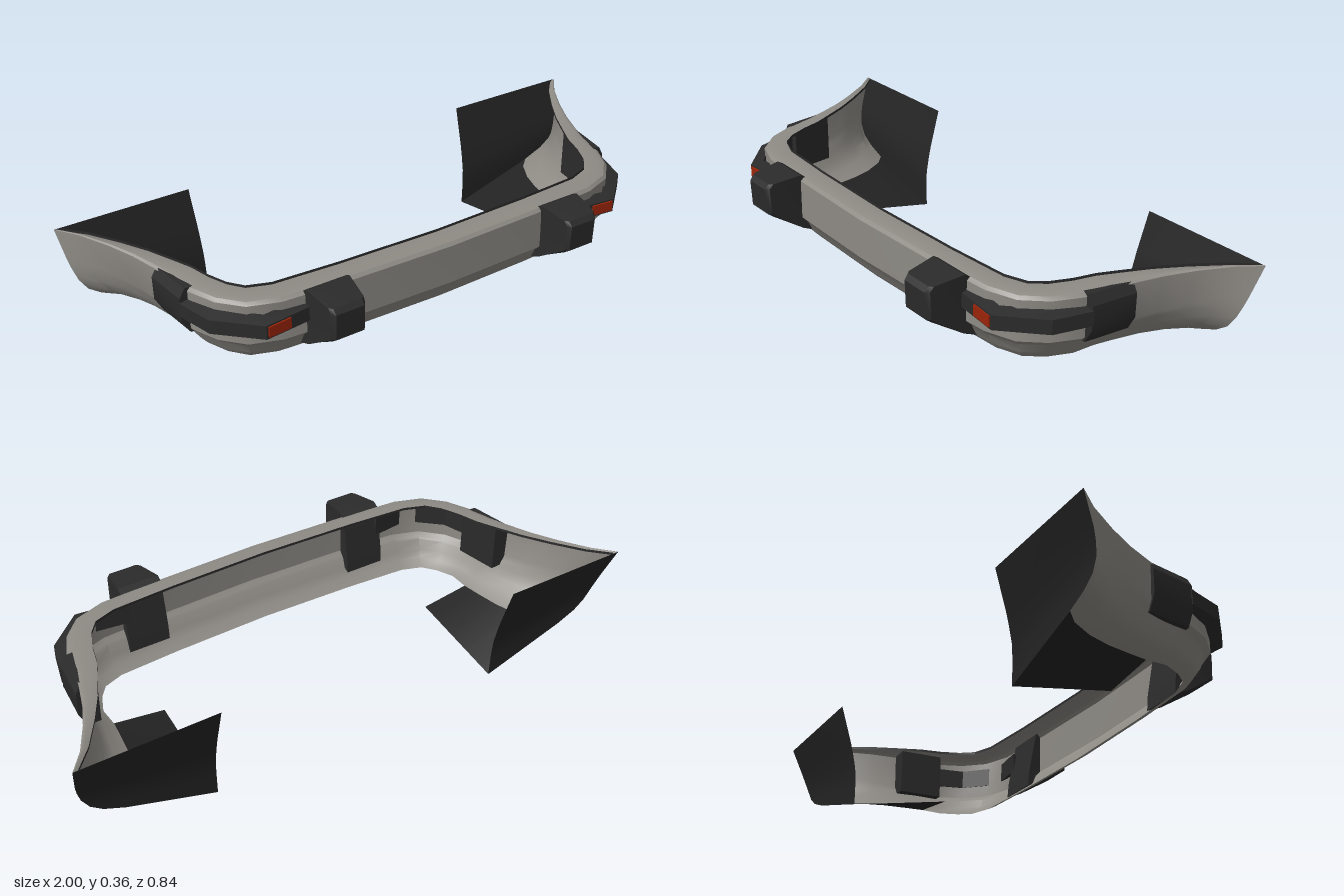
import * as THREE from 'three';
import { toCreasedNormals } from 'three/addons/utils/BufferGeometryUtils.js';

const material = (name, color) => {
  const m = new THREE.MeshStandardMaterial({ color, side: THREE.DoubleSide });
  m.name = name;
  return m;
};

// Skin a list of rows of [x, y, z] points; closed rows become capped solids
function loft(rows, closed = false, crease = 0.5) {
  const out = [];
  const n = rows[0].length;
  const last = closed ? n : n - 1;
  for (let i = 0; i < rows.length - 1; i++) {
    for (let j = 0; j < last; j++) {
      const k = (j + 1) % n;
      const a = rows[i][j], b = rows[i + 1][j], c = rows[i + 1][k], d = rows[i][k];
      out.push(...a, ...b, ...c, ...a, ...c, ...d);
    }
  }
  if (closed) {
    [rows[0], rows[rows.length - 1]].forEach((row, end) => {
      const mid = [0, 1, 2].map((q) => row.reduce((s, p) => s + p[q], 0) / n);
      for (let j = 0; j < n; j++) {
        const p = row[j], q = row[(j + 1) % n];
        out.push(...mid, ...(end ? q : p), ...(end ? p : q));
      }
    });
  }
  const g = new THREE.BufferGeometry();
  g.setAttribute('position', new THREE.Float32BufferAttribute(out, 3));
  return toCreasedNormals(g, crease);
}

// Half plan of the bumper: x, z, inward normal x, z, blend from front to rear section
const STATIONS = [
  [0, 0.31, 0, -1, 0], [0.35, 0.3, 0, -1, 0], [0.58, 0.285, -0.12, -0.99, 0],
  [0.68, 0.25, -0.45, -0.89, 0], [0.745, 0.18, -0.8, -0.6, 0], [0.785, 0.09, -0.95, -0.3, 0],
  [0.8, 0, -1, -0.08, 0.15], [0.82, -0.07, -1, 0, 0.3], [0.85, -0.16, -1, 0, 0.5],
  [0.89, -0.25, -1, 0, 0.7], [0.945, -0.35, -1, 0, 0.88], [1, -0.42, -1, 0, 1],
];
// Sections as inward depth and height
const FRONT = [[0.08, 0.357], [0.03, 0.36], [0.01, 0.355], [0, 0.345], [0, 0.21],
  [0.012, 0.197], [0.02, 0.19], [0.035, 0.155], [0.055, 0.13], [0.09, 0.11]];
const REAR = [[0.02, 0.36], [0.01, 0.366], [0.004, 0.369], [0, 0.368], [0.015, 0.27],
  [0.022, 0.24], [0.035, 0.2], [0.06, 0.16], [0.1, 0.13], [0.17, 0.1]];

// Slant of the rear edge: lower points sit further forward
const slant = (y) => 0.065 * (1 - Math.pow(Math.min(1, Math.max(0, (y - 0.18) / 0.19)), 1.3));

function section([x, z, nx, nz, t], side) {
  return FRONT.map(([fd, fy], j) => {
    const d = fd + (REAR[j][0] - fd) * t;
    const y = fy + (REAR[j][1] - fy) * t;
    return [side * (x + nx * d), y, z + nz * d + slant(y) * Math.pow(t, 4)];
  });
}

export function createModel() {
  const shellGrey = material('shell grey', 0x8e8b85);
  const rubber = material('black rubber', 0x2b2b2b);
  const liner = material('liner black', 0x232323);
  const lampRed = material('lamp red', 0x9c2409);

  const model = new THREE.Group();
  model.name = 'bumper';
  const add = (name, geometry, mat) => {
    const mesh = new THREE.Mesh(geometry, mat);
    mesh.name = name;
    model.add(mesh);
    return mesh;
  };

  // Main wraparound shell and the seal on its inner top edge
  const sections = [
    ...STATIONS.slice(1).reverse().map((s) => section(s, -1)),
    ...STATIONS.map((s) => section(s, 1)),
  ];
  add('bumperShell', loft(sections), shellGrey);
  add('topSeal', loft(sections.map(([p]) => [p, [p[0], p[1] + 0.009, p[2]]])), rubber);

  for (const side of [-1, 1]) {
    const label = side > 0 ? 'left' : 'right';

    // Overrider: side profile (z, y) swept across its width with bevelled cheeks
    const profile = [[0.28, 0.355], [0.3, 0.367], [0.41, 0.356], [0.424, 0.34],
      [0.42, 0.25], [0.4, 0.235], [0.3, 0.172], [0.245, 0.146], [0.25, 0.2]];
    const rings = [[-1, 0.012], [-0.82, 0], [0.82, 0], [1, 0.012]].map(([k, inset]) =>
      profile.map(([z, y]) => {
        const forward = Math.max(0, (z - 0.3) / 0.12);
        return [side * 0.435 + k * (0.073 - 0.015 * forward), y, z - inset * forward];
      }));
    add(label + 'Overrider', loft(rings, true), rubber);

    // Corner rubbing strip: outer plan point and inward normal
    const strip = [[0.49, 0.305, 0, -1], [0.655, 0.322, -0.35, -0.94],
      [0.78, 0.205, -0.85, -0.52], [0.815, 0.08, -1, -0.15]];
    add(label + 'CornerStrip', loft(strip.map(([x, z, nx, nz]) =>
      [[0.045, 0.252], [0, 0.262], [0, 0.31], [0.045, 0.32]].map(([d, y]) =>
        [side * (x + nx * d), y, z + nz * d])), true), rubber);

    // Marker lamp on the front of the strip
    const lamp = add(label + 'MarkerLamp', new THREE.BoxGeometry(0.078, 0.036, 0.009), lampRed);
    lamp.position.set(side * 0.61, 0.287, 0.318);
    lamp.rotation.y = -side * 0.1;

    // Side pad closing the strip
    add(label + 'SidePad', loft([[0.812, 0.083], [0.832, -0.07]].map(([x, z]) =>
      [[0.07, 0.195], [0.025, 0.197], [0, 0.245], [0, 0.325], [0.018, 0.356], [0.07, 0.358]]
        .map(([d, y]) => [side * (x - d), y, z])), true), rubber);

    // Rear closing panel, reaching inward from the shell's end
    const end = section(STATIONS[11], side).slice(3);
    add(label + 'RearPanel', loft(end.map((p) => {
      const drop = (0.368 - p[1]) / 0.268;
      return [p, [side * (0.54 - 0.01 * drop), p[1] - 0.095 * drop, p[2]]];
    })), liner);

    // Sloping floor panel below the shell's side arm
    add(label + 'FloorPanel', loft(STATIONS.slice(6).map((s) => {
      const p = section(s, side)[9];
      const t = Math.min(1, Math.max(0, -p[2] / 0.355));
      return [p, [side * (0.522 + 0.008 * t), 0.085 - 0.08 * t, p[2]]];
    })), liner);
  }
  return model;
}
